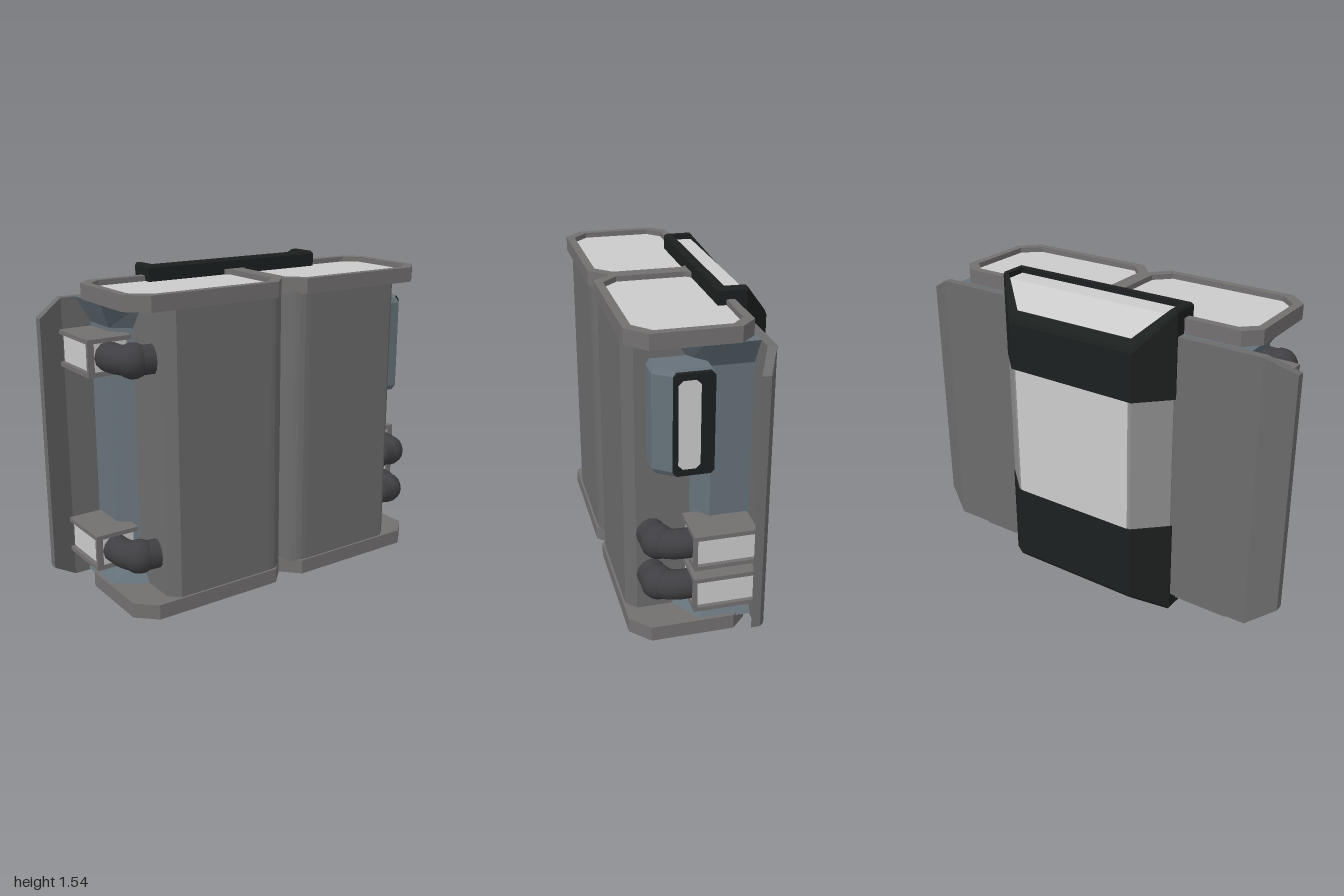
import * as THREE from 'three';

const mat = (color) => new THREE.MeshStandardMaterial({ color, flatShading: true, roughness: 0.8 });
const dark = mat(0x6c6c6c), shell = mat(0x737070), black = mat(0x1c201f), steel = mat(0x66727a);
const light = mat(0xcccccc), hose = mat(0x404044), middle = mat(0x8f8f8f);

// Stacks rings of [x, y, z] (from bottom to top) into a closed solid.
function loft(rings) {
  const area = (r) => r.reduce((t, p, i) => {
    const q = r[(i + 1) % r.length];
    return t + p[0] * q[2] - q[0] * p[2];
  }, 0);
  if (area(rings[0]) > 0) rings = rings.map(([first, ...rest]) => [first, ...rest.reverse()]);
  const n = rings[0].length, top = rings[rings.length - 1], bottom = rings[0], v = [];
  for (let i = 0; i < rings.length - 1; i++) {
    for (let j = 0; j < n; j++) {
      const k = (j + 1) % n;
      const a = rings[i][j], b = rings[i][k], c = rings[i + 1][k], d = rings[i + 1][j];
      v.push(...a, ...b, ...c, ...a, ...c, ...d);
    }
  }
  for (let j = 1; j < n - 1; j++) {
    v.push(...top[0], ...top[j], ...top[j + 1], ...bottom[0], ...bottom[j + 1], ...bottom[j]);
  }
  const g = new THREE.BufferGeometry();
  g.setAttribute('position', new THREE.Float32BufferAttribute(v, 3));
  g.computeVertexNormals();
  return g;
}

// Lifts an [x, z] outline to a height, which may depend on z.
const ring = (outline, y) => outline.map(([x, z]) => [x, typeof y === 'function' ? y(z) : y, z]);

// Shrinks an outline towards the middle of its bounds by t on each side.
function inset(outline, t) {
  const fit = [0, 1].map((k) => {
    const c = outline.map((p) => p[k]), lo = Math.min(...c), hi = Math.max(...c);
    return { mid: (lo + hi) / 2, f: 1 - (2 * t) / (hi - lo) };
  });
  return outline.map((p) => p.map((c, k) => fit[k].mid + (c - fit[k].mid) * fit[k].f));
}

export function createModel() {
  const model = new THREE.Group();
  const add = (name, geometry, material, parent = model) => {
    const m = new THREE.Mesh(geometry, material);
    m.name = name;
    parent.add(m);
    return m;
  };
  const box = (name, x0, x1, y0, y1, z0, z1, material, parent) => {
    const g = new THREE.BoxGeometry(Math.abs(x1 - x0), y1 - y0, z1 - z0);
    return add(name, g.translate((x0 + x1) / 2, (y0 + y1) / 2, (z0 + z1) / 2), material, parent);
  };

  for (const s of [1, -1]) {
    const side = s > 0 ? 'left' : 'right';
    const flip = (pts) => pts.map(([x, z]) => [s * x, z]);

    // Front column with rounded front corners
    const column = [[0.01, -0.15], [0.01, 0.26]];
    for (let i = 0; i <= 6; i++) {
      const a = (i / 6) * Math.PI / 2;
      column.push([0.11 - 0.1 * Math.cos(a), 0.26 + 0.095 * Math.sin(a)]);
    }
    column.push([0.6, 0.355], [0.65, 0.31], [0.65, -0.15]);
    add(side + 'Column', loft([ring(flip(column), 0.1), ring(flip(column), 1.43)]), dark);

    // Core behind the column, flaring out at both ends
    const narrow = flip([[0.02, -0.18], [0.02, 0.07], [0.65, 0.07], [0.73, 0], [0.73, -0.18]]);
    const flared = flip([[0.02, -0.18], [0.02, 0.16], [0.65, 0.16], [0.8, 0.06], [0.8, -0.18]]);
    add(side + 'Core', loft([ring(flared, 0.1), ring(narrow, 0.2),
      ring(narrow, 1.3), ring(flared, 1.42)]), steel);

    // Chamfered end caps with sunken panels
    const cap = flip([[0, -0.1], [0, 0.28], [0.08, 0.365], [0.72, 0.365],
      [0.81, 0.28], [0.81, -0.1], [0.74, -0.17], [0.06, -0.17]]);
    const inner = inset(cap, 0.038);
    add(side + 'TopCap', loft([ring(cap, 1.42), ring(cap, 1.49),
      ring(inner, 1.49), ring(inner, 1.46)]), shell);
    add(side + 'TopPanel', loft([ring(inner, 1.44), ring(inner, 1.465)]), light);
    add(side + 'BottomCap', loft([ring(inner, 0.07), ring(inner, 0.04),
      ring(cap, 0.04), ring(cap, 0.11)]), shell);
    add(side + 'BottomPanel', loft([ring(inner, 0.065), ring(inner, 0.09)]), middle);

    // Wing plate with a bent outer edge
    const plate = (pts) => {
      const outline = new THREE.Shape(pts.map(([x, y]) => new THREE.Vector2(s * x, y)));
      const g = new THREE.ExtrudeGeometry(outline, { depth: 0.04, bevelEnabled: false });
      const p = g.attributes.position;
      for (let i = 0; i < p.count; i++) {
        const bend = Math.max(0, Math.abs(p.getX(i)) - 0.87) * 0.5;
        p.setZ(i, p.getZ(i) - 0.22 + bend);
      }
      g.computeVertexNormals();
      return g;
    };
    add(side + 'Wing', plate([[0.3, 0.09], [0.87, 0.09], [0.87, 1.42], [0.3, 1.42]]), dark);
    add(side + 'WingEdge', plate([[0.87, 0.09], [1, 0.18], [1, 1.35], [0.87, 1.42]]), dark);

    // Clamps holding a short bent hose end
    for (const y of s > 0 ? [0.305, 0.515] : [0.305, 1.2]) {
      const clamp = new THREE.Group();
      clamp.name = side + 'Clamp';
      model.add(clamp);
      box('clampBlock', s * 0.7, s * 0.87, y - 0.065, y + 0.065, -0.17, 0.1, light, clamp);
      for (const e of [-1, 1]) {
        box('clampPlate', s * 0.68, s * 0.89, y + e * 0.073 - 0.01, y + e * 0.073 + 0.01,
          -0.17, 0.11, shell, clamp);
      }
      box('clampRim', s * 0.86, s * 0.89, y - 0.07, y + 0.07, 0.095, 0.11, shell, clamp);
      const path = new THREE.CatmullRomCurve3([[0.79, 0.08], [0.785, 0.17], [0.75, 0.235], [0.66, 0.25]]
        .map(([x, z]) => new THREE.Vector3(s * x, y, z)));
      const smooth = hose.clone();
      smooth.flatShading = false;
      add('hose', new THREE.TubeGeometry(path, 12, 0.066, 12), smooth, clamp);
      const knob = new THREE.SphereGeometry(0.078, 14, 10);
      add('hoseEnd', knob.translate(s * 0.745, y, 0.235), smooth, clamp);
    }
  }

  // Vent box on the left side, with a framed light panel
  const vent = [[0.6, 0], [0.6, 0.26], [0.75, 0.26], [0.81, 0.18], [0.81, 0.01]];
  const ventEnd = inset(vent, 0.015);
  add('ventBox', loft([ring(ventEnd, 0.85), ring(vent, 0.875), ring(vent, 1.3), ring(ventEnd, 1.325)]), steel);
  const rounded = (z0, z1, y0, y1, c) => new THREE.Shape([[z0 + c, y0], [z1 - c, y0], [z1, y0 + c], [z1, y1 - c],
    [z1 - c, y1], [z0 + c, y1], [z0, y1 - c], [z0, y0 + c]].map(([z, y]) => new THREE.Vector2(-z, y)));
  const frame = rounded(0.01, 0.185, 0.86, 1.315, 0.015);
  frame.holes.push(rounded(0.07, 0.165, 0.89, 1.285, 0.02));
  const sideways = (shape, depth, x) =>
    new THREE.ExtrudeGeometry(shape, { depth, bevelEnabled: false }).rotateY(Math.PI / 2).translate(x, 0, 0);
  add('ventFrame', sideways(frame, 0.02, 0.8), black);
  add('ventPanel', sideways(rounded(0.06, 0.175, 0.88, 1.295, 0.02), 0.008, 0.805), light);

  // Back pod: black ends with sloping rims, grey middle
  const pod = (front) => [[0.48, -0.225], [0.34, -0.365], [-0.33, -0.365],
    [-0.47, -0.225], [-0.47, front], [0.48, front]];
  const slope = (z) => Math.max(0, -0.225 - z) / 0.14;
  const topY = (z) => 1.54 - 0.17 * slope(z);
  const lowY = (z) => 0.1 * slope(z);
  const podTop = pod(-0.095), podLow = pod(0.085);
  const topInner = inset(podTop, 0.035), lowInner = inset(podLow, 0.045);
  const topRim = inset(podTop, 0.008), lowRim = inset(podLow, 0.008);
  add('podTop', loft([ring(podTop, 1.13), ring(podTop, (z) => topY(z) - 0.012), ring(topRim, topY),
    ring(topInner, topY), ring(topInner, (z) => topY(z) - 0.03)]), black);
  add('podTopPanel', loft([ring(topInner, (z) => topY(z) - 0.05),
    ring(topInner, (z) => topY(z) - 0.025)]), light);
  add('podBottom', loft([ring(lowInner, (z) => lowY(z) + 0.03), ring(lowInner, lowY), ring(lowRim, lowY),
    ring(podLow, (z) => lowY(z) + 0.012), ring(podLow, 0.48)]), black);
  add('podBottomPanel', loft([ring(lowInner, (z) => lowY(z) + 0.025),
    ring(lowInner, (z) => lowY(z) + 0.05)]), middle);
  const podMiddle = inset(pod(-0.15), 0.008);
  add('podMiddle', loft([ring(podMiddle, 0.47), ring(podMiddle, 1.14)]), middle);
  box('podBackPanel', -0.31, 0.32, 0.48, 1.13, -0.362, -0.34, light);

  return model;
}
